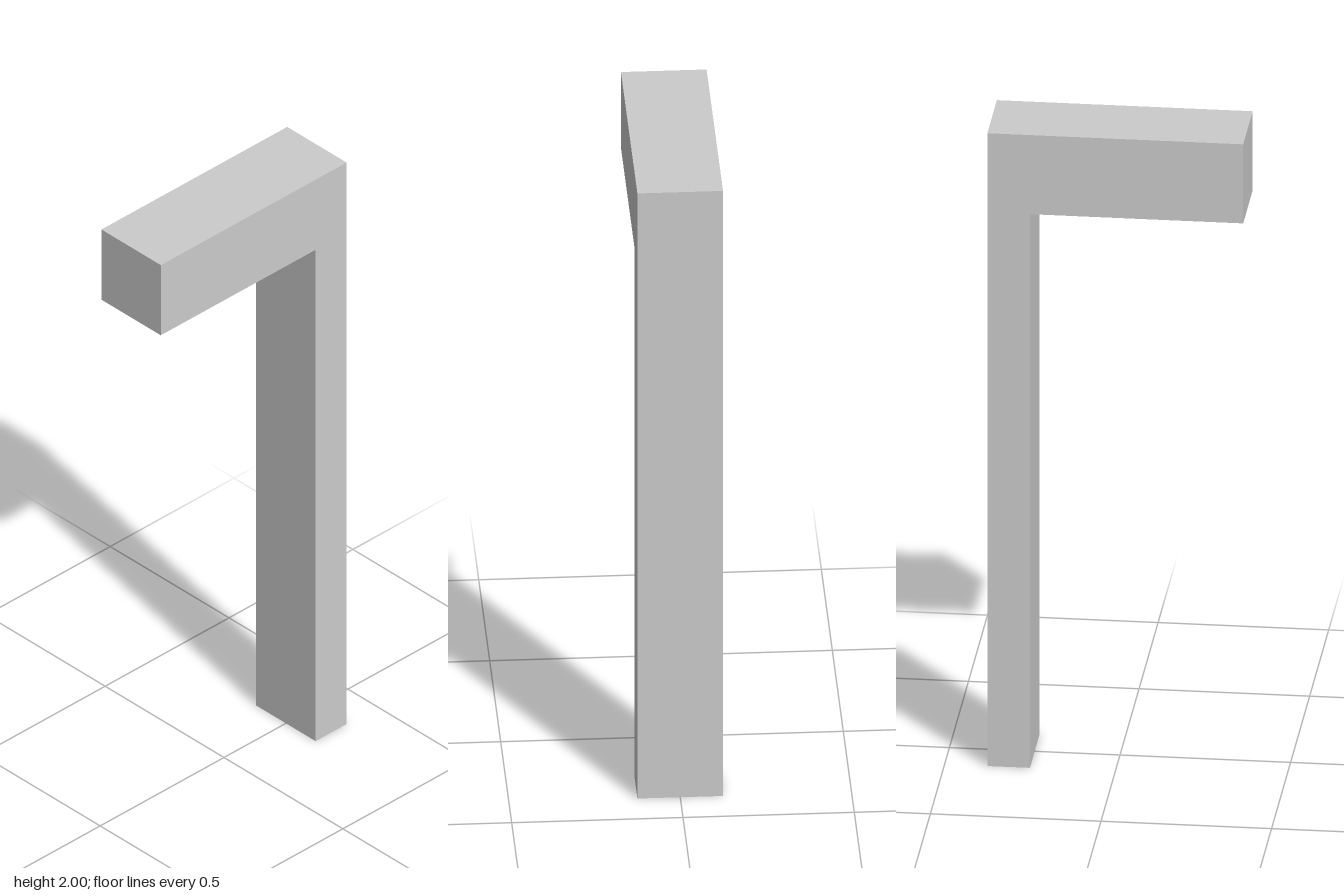
import * as THREE from 'three';

export function createModel() {
  const group = new THREE.Group();
  group.name = 'angledPost';

  // L-shaped outline: slim upright on the left, thick arm across the top
  const outline = new THREE.Shape([
    [0.25, 0], [0.375, 0], [0.375, 2], [-0.375, 2], [-0.375, 1.75], [0.25, 1.75],
  ].map(([x, y]) => new THREE.Vector2(x, y)));

  const depth = 0.25;
  const geometry = new THREE.ExtrudeGeometry(outline, { depth, bevelEnabled: false });
  geometry.translate(0, 0, -depth / 2);

  const material = new THREE.MeshStandardMaterial({ color: 0xcccccc, flatShading: true });
  const post = new THREE.Mesh(geometry, material);
  post.name = 'postWithArm';
  group.add(post);
  return group;
}
